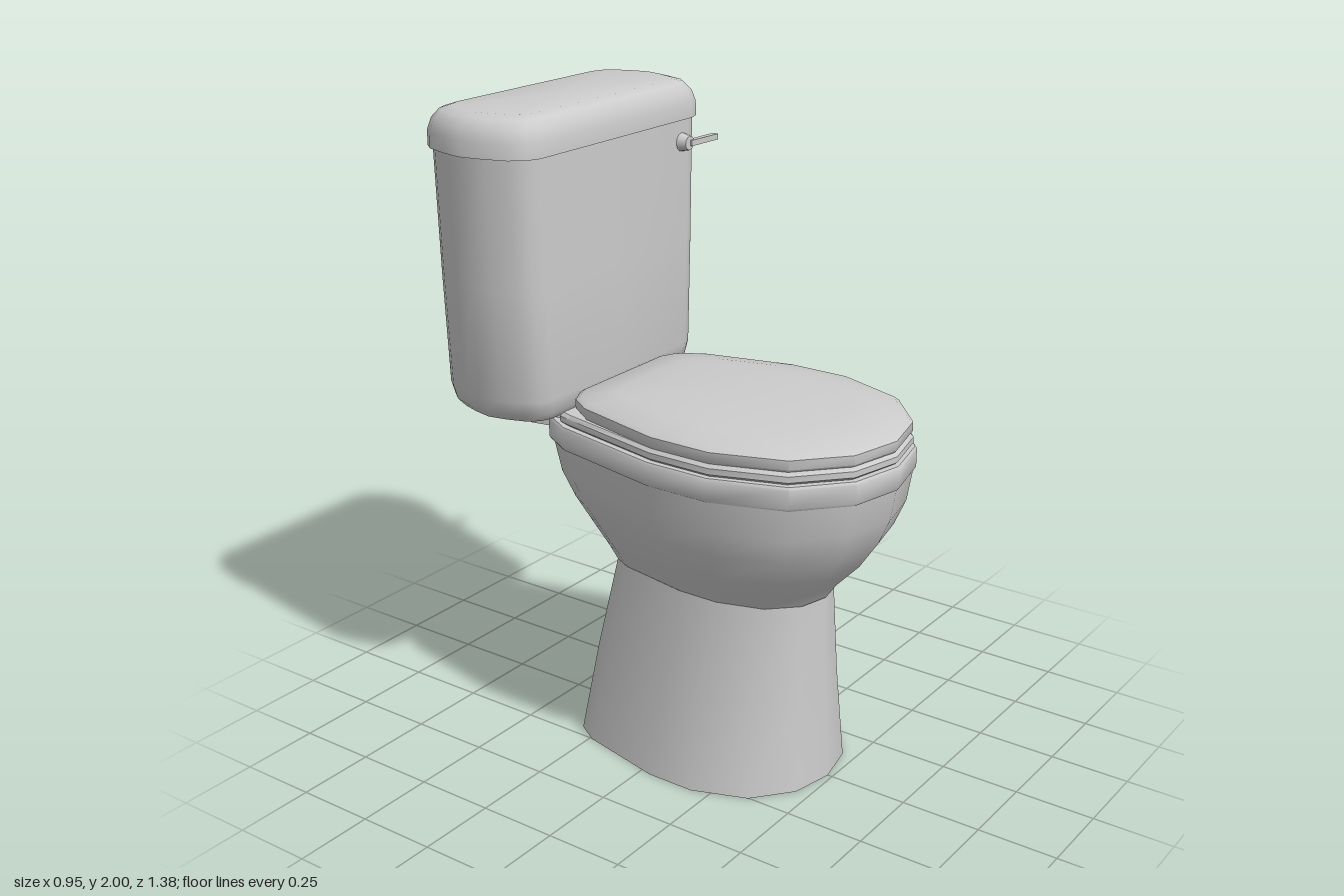
import * as THREE from 'three';
import { toCreasedNormals } from 'three/addons/utils/BufferGeometryUtils.js';

// Half plans from front to back: [share of half width, share of depth from the back]
const BOWL_PLAN = [[0, 1], [0.43, 0.965], [0.8, 0.85], [1, 0.65], [1, 0.465], [0.8, 0.135], [0.66, 0.05], [0.4, 0.012], [0, 0]];
const SEAT_PLAN = [[0, 1], [0.43, 0.96], [0.8, 0.83], [1, 0.61], [1, 0.405], [0.8, 0.04], [0.77, 0]];
const LID_PLAN = [[0, 1], [0.43, 0.96], [0.8, 0.83], [1, 0.61], [1, 0.405], [0.8, 0.1], [0.67, 0.025], [0.53, 0]];
const TANK_PLAN = [[0, 1], [0.76, 1], [0.85, 0.96], [0.92, 0.86], [0.97, 0.68], [1, 0.5],
  [0.97, 0.32], [0.92, 0.14], [0.85, 0.04], [0.76, 0], [0, 0]];

const material = new THREE.MeshStandardMaterial({ color: 0xcccccc });
const openMaterial = new THREE.MeshStandardMaterial({ color: 0xcccccc, side: THREE.DoubleSide });

// Skin a plan through levels [y, half width, back z, front z], listed bottom to top
function loft(name, plan, levels, { capped = true, crease = 0.75 } = {}) {
  const mirrored = plan.filter(p => p[0] > 0).reverse().map(([x, t]) => [-x, t]);
  const outline = [...plan, ...mirrored];
  const n = outline.length;
  const positions = [];
  const index = [];
  for (const [y, w, back, front] of levels) {
    for (const [x, t] of outline) positions.push(x * w, y, back + (front - back) * t);
  }
  for (let i = 0; i < levels.length - 1; i++) {
    for (let j = 0; j < n; j++) {
      const a = i * n + j, b = i * n + (j + 1) % n;
      index.push(a, b, b + n, a, b + n, a + n);
    }
  }
  if (capped) {
    const top = (levels.length - 1) * n;
    const centre = positions.length / 3;
    for (const [y, , back, front] of [levels[0], levels[levels.length - 1]]) {
      positions.push(0, y, (back + front) / 2);
    }
    for (let j = 0; j < n; j++) {
      const k = (j + 1) % n;
      index.push(centre, k, j, centre + 1, top + j, top + k);
    }
  }
  const geometry = new THREE.BufferGeometry();
  geometry.setAttribute('position', new THREE.Float32BufferAttribute(positions, 3));
  geometry.setIndex(index);
  const mesh = new THREE.Mesh(toCreasedNormals(geometry, crease), capped ? material : openMaterial);
  mesh.name = name;
  return mesh;
}

function createHandle() {
  const handle = new THREE.Group();
  handle.name = 'flushHandle';
  // Round boss on the tank
  const knob = new THREE.Mesh(new THREE.CylinderGeometry(0.022, 0.03, 0.035, 12), material);
  knob.name = 'handleKnob';
  knob.rotation.x = Math.PI / 2;
  knob.position.set(0.32, 1.815, -0.282);
  // Flat lever reaching past the tank side
  const lever = new THREE.Mesh(new THREE.BoxGeometry(0.15, 0.018, 0.02), material);
  lever.name = 'handleLever';
  lever.position.set(0.397, 1.812, -0.272);
  lever.rotation.set(0, 0.04, -0.03);
  handle.add(knob, lever);
  return handle;
}

export function createModel() {
  const model = new THREE.Group();
  model.name = 'toilet';

  // Hollow foot, open underneath
  model.add(loft('pedestal', BOWL_PLAN, [
    [0, 0.315, -0.355, 0.485],
    [0.3, 0.265, -0.305, 0.465],
    [0.6, 0.215, -0.245, 0.455],
  ], { capped: false, crease: 0.6 }));

  // Rounded bowl
  model.add(loft('bowl', BOWL_PLAN, [
    [0.6, 0.215, -0.245, 0.46],
    [0.65, 0.25, -0.26, 0.495],
    [0.73, 0.305, -0.295, 0.57],
    [0.82, 0.348, -0.35, 0.63],
    [0.9, 0.372, -0.39, 0.665],
    [1.0, 0.382, -0.415, 0.682],
  ], { capped: false, crease: 0.9 }));

  model.add(loft('rim', BOWL_PLAN, [
    [1.0, 0.385, -0.425, 0.685],
    [1.008, 0.39, -0.43, 0.69],
    [1.065, 0.39, -0.43, 0.69],
    [1.072, 0.385, -0.425, 0.685],
  ]));

  // Shelf that carries the tank
  model.add(loft('tankShelf', TANK_PLAN, [
    [1.043, 0.27, -0.56, -0.3],
    [1.08, 0.27, -0.56, -0.3],
  ]));

  model.add(loft('seat', SEAT_PLAN, [
    [1.07, 0.365, -0.29, 0.665],
    [1.082, 0.38, -0.3, 0.68],
    [1.1, 0.38, -0.3, 0.68],
    [1.11, 0.37, -0.293, 0.67],
  ]));

  // Domed lid
  model.add(loft('lid', LID_PLAN, [
    [1.11, 0.37, -0.292, 0.67],
    [1.118, 0.376, -0.297, 0.677],
    [1.146, 0.376, -0.297, 0.677],
    [1.157, 0.362, -0.285, 0.66],
    [1.175, 0.28, -0.18, 0.48],
    [1.187, 0.2, -0.08, 0.32],
  ]));

  // Tank tapering slightly towards a rounded bottom
  model.add(loft('tank', TANK_PLAN, [
    [1.08, 0.37, -0.625, -0.345],
    [1.09, 0.402, -0.65, -0.32],
    [1.115, 0.424, -0.668, -0.302],
    [1.16, 0.437, -0.675, -0.295],
    [1.5, 0.453, -0.676, -0.295],
    [1.89, 0.465, -0.677, -0.295],
  ]));

  // Overhanging tank lid with a rounded top edge
  model.add(loft('tankLid', TANK_PLAN, [
    [1.885, 0.475, -0.69, -0.285],
    [1.93, 0.473, -0.69, -0.285],
    [1.965, 0.462, -0.68, -0.295],
    [1.99, 0.44, -0.662, -0.313],
    [2.0, 0.405, -0.635, -0.34],
  ]));

  model.add(createHandle());
  return model;
}
